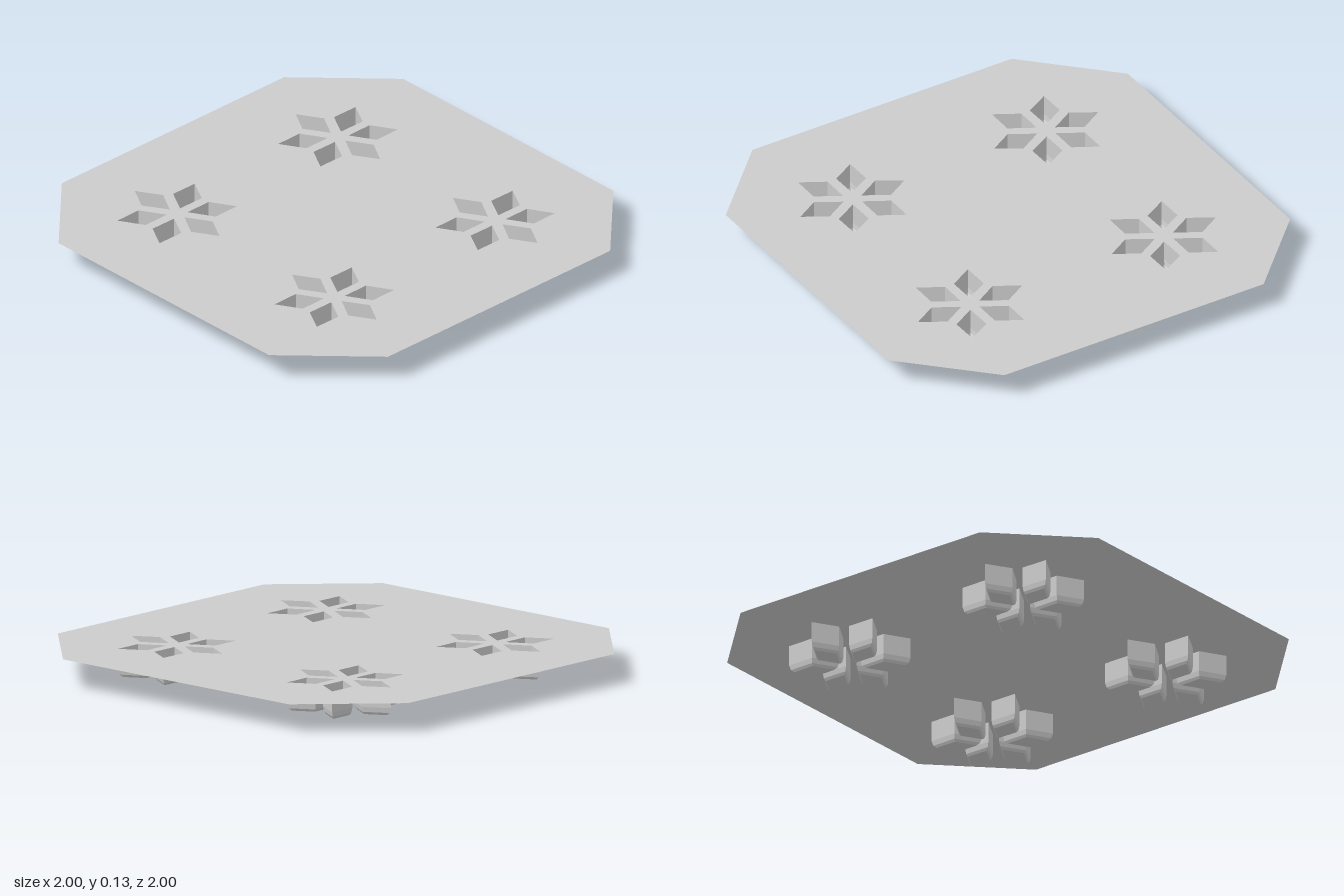
import * as THREE from 'three';

const TOP = 0.13;          // height of the thin sheet
const PETAL_R = 0.152;     // distance of petal centre from flower centre
const HALF_L = 0.107;      // half length of a petal along its radius
const HALF_W = 0.063;      // half width across

export function createModel() {
  const group = new THREE.Group();
  const material = new THREE.MeshStandardMaterial({
    color: 0xcccccc, flatShading: true, side: THREE.DoubleSide,
  });

  // Six petals around each of four flower centres
  const petals = [];
  for (const cx of [-0.482, 0.482]) {
    for (const cz of [-0.468, 0.466]) {
      for (let i = 0; i < 6; i++) {
        const a = (i * Math.PI) / 3;
        petals.push({ a, x: cx + PETAL_R * Math.cos(a), z: cz + PETAL_R * Math.sin(a) });
      }
    }
  }

  // Octagonal sheet with a diamond hole for every petal (shape y is -z)
  const c = 0.645;
  const outline = [[1, -c], [1, c], [c, 1], [-c, 1], [-1, c], [-1, -c], [-c, -1], [c, -1]];
  const sheet = new THREE.Shape(outline.map(([x, y]) => new THREE.Vector2(x, y)));
  for (const { a, x, z } of petals) {
    const corners = [[HALF_L, 0], [0, HALF_W], [-HALF_L, 0], [0, -HALF_W]].map(([u, v]) =>
      new THREE.Vector2(
        x + u * Math.cos(a) - v * Math.sin(a),
        -(z + u * Math.sin(a) + v * Math.cos(a))));
    sheet.holes.push(new THREE.Path(corners));
  }
  const plate = new THREE.Mesh(new THREE.ShapeGeometry(sheet).rotateX(-Math.PI / 2), material);
  plate.name = 'plate';
  plate.position.y = TOP;
  group.add(plate);

  // Four-sided pockets hanging below the holes: straight walls, chamfer, shallow point
  const profile = [[0, 0], [0.8, 0.007], [0.93, 0.018], [1, 0.04], [1, TOP]]
    .map(([r, y]) => new THREE.Vector2(r, y));
  const pocketGeometry = new THREE.LatheGeometry(profile, 4).scale(HALF_L, 1, HALF_W);
  for (const { a, x, z } of petals) {
    const pocket = new THREE.Mesh(pocketGeometry, material);
    pocket.name = 'petalPocket';
    pocket.position.set(x, 0, z);
    pocket.rotation.y = -a;
    group.add(pocket);
  }
  return group;
}
